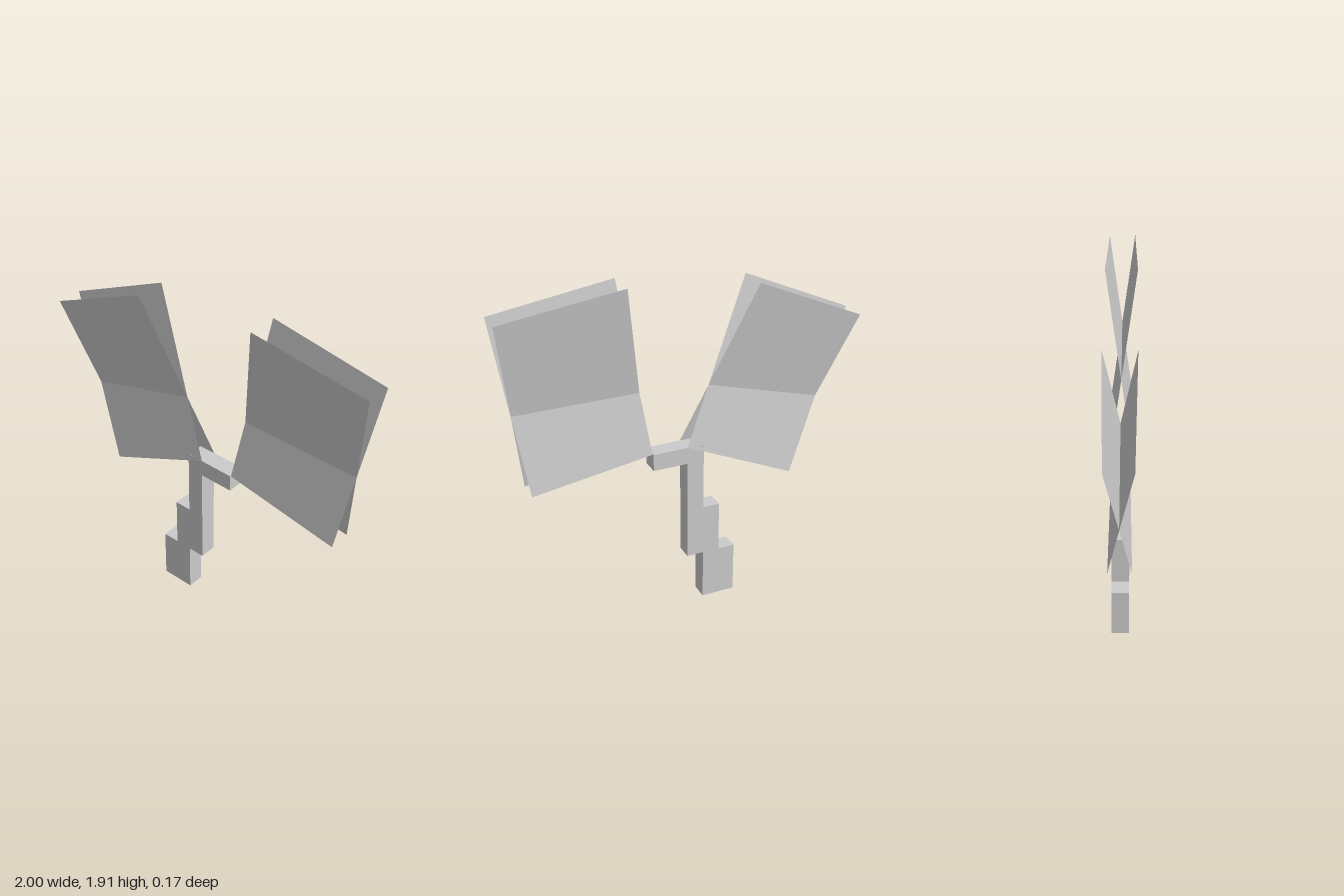
import * as THREE from 'three';

const material = new THREE.MeshStandardMaterial({ color: 0xcccccc, flatShading: true, side: THREE.DoubleSide });
const shapeOf = (pts) => new THREE.Shape(pts.map(([x, y]) => new THREE.Vector2(x, y)));

// Stepped stem with a side arm, extruded through z and open underneath
function createStem() {
  const depth = 0.096;
  const outline = shapeOf([
    [-0.285, 0], [-0.095, 0], [-0.095, 0.29], [0, 0.29], [0, 0.87], [0.195, 0.87],
    [0.195, 0.965], [-0.095, 0.965], [-0.095, 0.58], [-0.19, 0.58], [-0.19, 0.29], [-0.285, 0.29],
  ]);
  const solid = new THREE.ExtrudeGeometry(outline, { depth, bevelEnabled: false });
  solid.translate(0, 0, -depth / 2);

  // Drop the triangles that lie on the ground
  const p = solid.attributes.position;
  const kept = [];
  for (let i = 0; i < p.count; i += 3) {
    if (Math.max(p.getY(i), p.getY(i + 1), p.getY(i + 2)) < 1e-4) continue;
    for (let j = i; j < i + 3; j++) kept.push(p.getX(j), p.getY(j), p.getZ(j));
  }
  const geometry = new THREE.BufferGeometry();
  geometry.setAttribute('position', new THREE.Float32BufferAttribute(kept, 3));
  geometry.computeVertexNormals();
  const stem = new THREE.Mesh(geometry, material);
  stem.name = 'stem';
  return stem;
}

// A leaf is two flat sheets tilted opposite ways, crossing on the line y = crossY + slope * x
function createLeaf(name, corners, crossY, slope, tilt) {
  const leaf = new THREE.Group();
  leaf.name = name;
  for (const side of [1, -1]) {
    const geometry = new THREE.ShapeGeometry(shapeOf(corners));
    const p = geometry.attributes.position;
    for (let i = 0; i < p.count; i++) {
      p.setZ(i, side * tilt * (p.getY(i) - crossY - slope * p.getX(i)));
    }
    geometry.computeVertexNormals();
    const sheet = new THREE.Mesh(geometry, material);
    sheet.name = side > 0 ? 'forwardSheet' : 'backwardSheet';
    leaf.add(sheet);
  }
  return leaf;
}

export function createModel() {
  const model = new THREE.Group();
  model.name = 'sprout';
  model.add(
    createStem(),
    createLeaf('leftLeaf', [[0.2, 0.968], [0.865, 0.877], [1, 1.817], [0.333, 1.91]], 1.312, 0, 0.141),
    createLeaf('rightLeaf', [[-0.613, 0.695], [0, 0.967], [-0.387, 1.835], [-1, 1.565]], 1.325, 0.285, 0.137),
  );
  return model;
}
